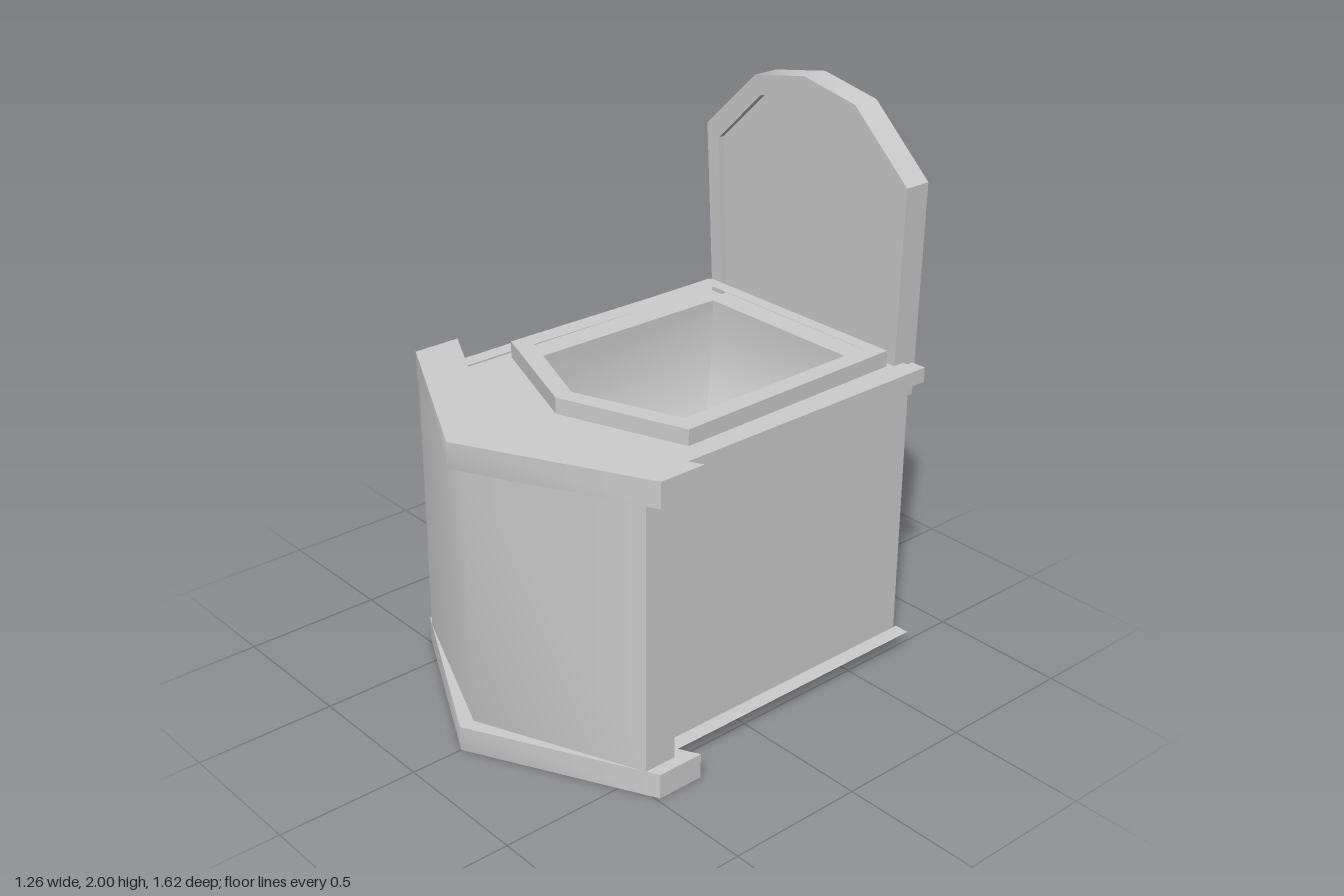
import * as THREE from 'three';
import { toCreasedNormals } from 'three/addons/utils/BufferGeometryUtils.js';

const material = new THREE.MeshStandardMaterial({ color: 0xcccccc });
const doubleSided = new THREE.MeshStandardMaterial({ color: 0xcccccc, side: THREE.DoubleSide });

// Completes a symmetric outline from its +x half, running from back to front
function mirrored(half) {
  const other = half.filter(([x]) => x > 0).map(([x, y]) => [-x, y]).reverse();
  return [...half, ...other];
}

function makeShape(points, hole) {
  const shape = new THREE.Shape(points.map(([x, y]) => new THREE.Vector2(x, y)));
  if (hole) shape.holes.push(new THREE.Path(hole.map(([x, y]) => new THREE.Vector2(x, y))));
  return shape;
}

// Horizontal slab from an [x, z] outline
function slab(name, outline, y0, y1, { hole, crease = 0.3 } = {}) {
  const flip = (pts) => pts && pts.map(([x, z]) => [x, -z]);
  const geometry = new THREE.ExtrudeGeometry(makeShape(flip(outline), flip(hole)), {
    depth: y1 - y0, bevelEnabled: false,
  });
  geometry.rotateX(-Math.PI / 2).translate(0, y0, 0);
  const mesh = new THREE.Mesh(toCreasedNormals(geometry, crease), material);
  mesh.name = name;
  return mesh;
}

// Upright slab from an [x, y] outline, leaning back slightly towards its foot
function lidSlab(name, outline, zBack, zFront, hole) {
  const geometry = new THREE.ExtrudeGeometry(makeShape(outline, hole), {
    depth: zFront - zBack, bevelEnabled: false,
  });
  geometry.translate(0, 0, zBack);
  const p = geometry.attributes.position;
  for (let i = 0; i < p.count; i++) p.setZ(i, p.getZ(i) - (2 - p.getY(i)) * 0.022);
  const mesh = new THREE.Mesh(toCreasedNormals(geometry, 0.6), material);
  mesh.name = name;
  return mesh;
}

// Basin skin lofted through scaled copies of one outline, closed at the bottom
function basin(outline, levels, centerZ) {
  const n = outline.length;
  const positions = [];
  const index = [];
  for (const [y, s] of levels) {
    for (const [x, z] of outline) positions.push(x * s, y, centerZ + (z - centerZ) * s);
  }
  for (let k = 0; k < levels.length - 1; k++) {
    for (let i = 0; i < n; i++) {
      const a = k * n + i, b = k * n + (i + 1) % n;
      index.push(a, b, a + n, b, b + n, a + n);
    }
  }
  const last = (levels.length - 1) * n;
  for (let i = 1; i < n - 1; i++) index.push(last, last + i, last + i + 1);
  const geometry = new THREE.BufferGeometry();
  geometry.setAttribute('position', new THREE.Float32BufferAttribute(positions, 3));
  geometry.setIndex(index);
  const mesh = new THREE.Mesh(toCreasedNormals(geometry, 0.7), doubleSided);
  mesh.name = 'basin';
  return mesh;
}

export function createModel() {
  const group = new THREE.Group();
  group.name = 'boxSeatWithLid';

  // Box body: solid below, opened for the basin above
  const bodyOutline = mirrored([[0.48, -0.75], [0.48, 0.39], [0, 0.64]]);
  const opening = mirrored([[0.37, -0.635], [0.38, 0.175], [0, 0.32]]);
  group.add(slab('bodyLower', bodyOutline, 0.065, 0.5));
  group.add(slab('bodyUpper', bodyOutline, 0.5, 1.095, { hole: opening }));

  // Raised seat rim and the basin inside it
  const rim = mirrored([[0.435, -0.685], [0.45, 0.22], [0, 0.385]]);
  group.add(slab('seatRim', rim, 1.09, 1.152, { hole: opening }));
  group.add(basin(opening, [[1.1, 0.995], [0.96, 0.99], [0.8, 0.88], [0.65, 0.68], [0.55, 0.42]], -0.18));

  // Pointed front panel between two chevron trims
  const panel = mirrored([[0.585, 0.39], [0.585, 0.51], [0, 0.755]]);
  group.add(slab('frontPanel', panel, 0.09, 1.04, { crease: 1.0 }));
  const chevron = [[0, 0.64], [0.628, 0.315], [0.628, 0.488], [0, 0.81], [-0.628, 0.488], [-0.628, 0.315]];
  group.add(slab('bottomTrim', chevron, 0, 0.09, { crease: 1.0 }));
  group.add(slab('topTrim', chevron, 1.04, 1.132, { crease: 1.0 }));

  // Side rails along the upper edges and the lower right edge
  const railLength = 1.165;
  const railZ = -0.765 + railLength / 2;
  for (const [name, x, y] of [
    ['upperLeftRail', 0.507, 1.075],
    ['upperRightRail', -0.507, 1.075],
    ['lowerRightRail', -0.507, 0.045],
  ]) {
    const rail = new THREE.Mesh(new THREE.BoxGeometry(0.056, 0.052, railLength), material);
    rail.position.set(x, y, railZ);
    rail.name = name;
    group.add(rail);
  }

  // Lower left edge carries only a thin upward-facing strip
  const strip = new THREE.Mesh(new THREE.PlaneGeometry(0.056, railLength).rotateX(-Math.PI / 2), material);
  strip.position.set(0.507, 0.068, railZ);
  strip.name = 'lowerLeftStrip';
  group.add(strip);

  // Open lid: faceted arched frame with an inset panel
  const lid = new THREE.Group();
  lid.name = 'lid';
  const lidOutline = mirrored([[0.447, 0.96], [0.475, 1.73], [0.235, 1.955], [0, 2]]);
  const lidInset = mirrored([[0.4, 1.03], [0.415, 1.69], [0.205, 1.89], [0, 1.93]]);
  lid.add(lidSlab('lidFrame', lidOutline, -0.787, -0.686, lidInset));
  lid.add(lidSlab('lidPanel', lidInset, -0.776, -0.71));
  group.add(lid);

  return group;
}
